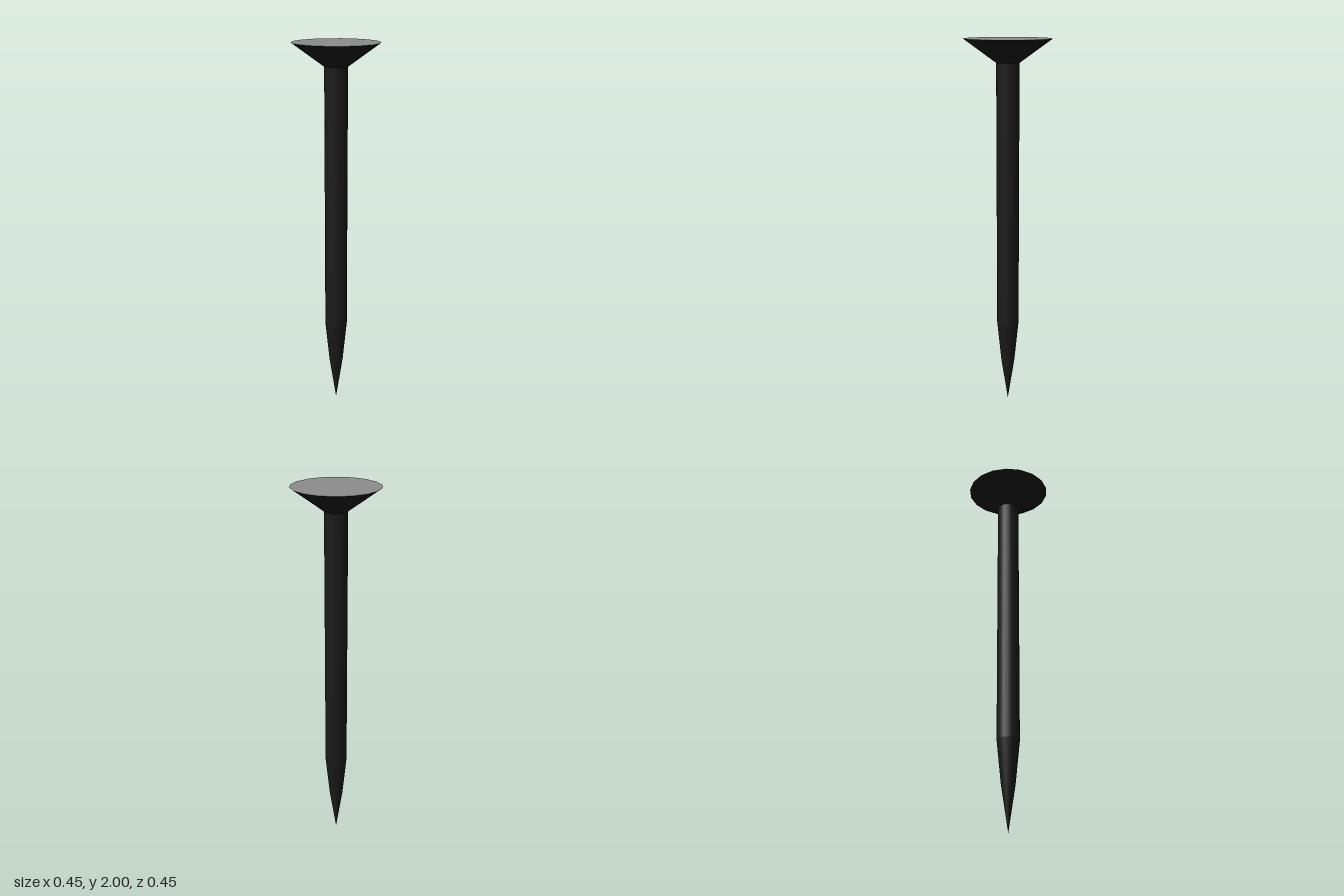
import * as THREE from 'three';

const SIDES = 18;

export function createModel() {
  const nail = new THREE.Group();
  nail.name = 'nail';
  const dark = new THREE.MeshStandardMaterial({ color: 0x1a1a1a });
  const grey = new THREE.MeshStandardMaterial({ color: 0x8c8c8c });

  const add = (name, geometry, material, y = 0) => {
    const mesh = new THREE.Mesh(geometry, material);
    mesh.name = name;
    mesh.position.y = y;
    nail.add(mesh);
    return mesh;
  };
  // Round part from [radius, height] pairs, with a corner on the x axis
  const turned = (points) => new THREE.LatheGeometry(
    points.map(([r, y]) => new THREE.Vector2(r, y)), SIDES, Math.PI / 2);

  // Straight shaft and the two-step taper down to the tip
  add('shaft', turned([[0.06, 0.47], [0.06, 1.88]]), dark);
  add('point', turned([[0, 0], [0.037, 0.24], [0.06, 0.47]]), dark);

  // Countersunk underside of the head
  add('headUnderside', turned([[0.06, 1.88], [0.227, 2]]), dark);

  // Flat top face
  add('headTop', new THREE.CircleGeometry(0.227, SIDES), grey, 2).rotation.x = -Math.PI / 2;

  return nail;
}
